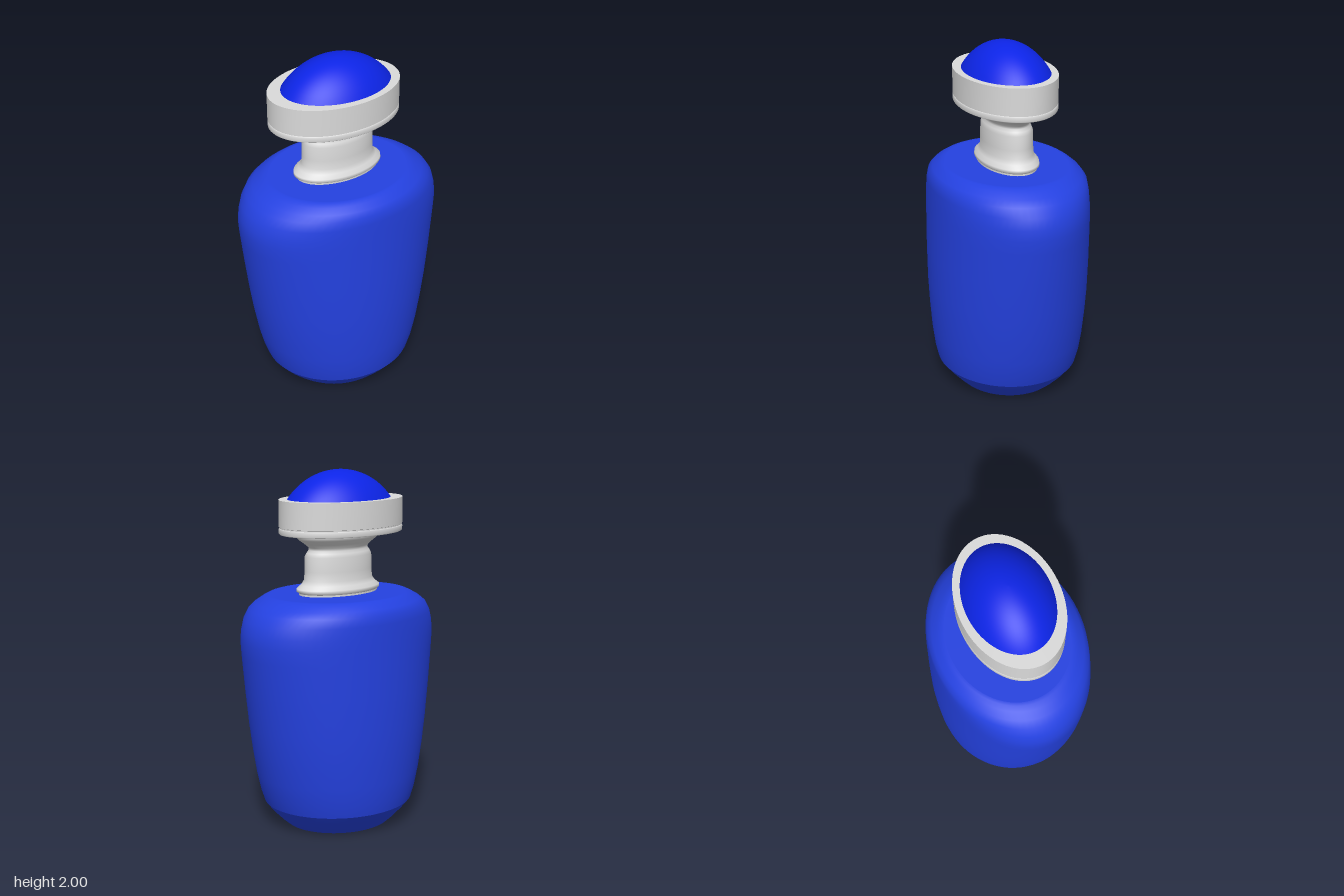
import * as THREE from 'three';

const SIDES = 72;

// Loft of elliptical rings [y, rx, rz], bottom to top, smooth within the loft.
function loft(rings) {
  const pos = [], index = [];
  for (const [y, rx, rz] of rings) {
    for (let i = 0; i < SIDES; i++) {
      const a = (i / SIDES) * Math.PI * 2;
      pos.push(rx * Math.cos(a), y, rz * Math.sin(a));
    }
  }
  for (let r = 0; r < rings.length - 1; r++) {
    for (let i = 0; i < SIDES; i++) {
      const j = (i + 1) % SIDES;
      const a = r * SIDES + i, b = r * SIDES + j;
      const c = a + SIDES, d = b + SIDES;
      if (rings[r][1] > 0) index.push(a, c, b);
      if (rings[r + 1][1] > 0) index.push(b, c, d);
    }
  }
  const g = new THREE.BufferGeometry();
  g.setAttribute('position', new THREE.Float32BufferAttribute(pos, 3));
  g.setIndex(index);
  g.computeVertexNormals();
  return g;
}

// A named part made of lofts; each loft ends at a sharp edge.
function part(name, material, x, sections) {
  const group = new THREE.Group();
  group.name = name;
  group.position.x = x;
  sections.forEach((rings, i) => {
    const mesh = new THREE.Mesh(loft(rings), material);
    mesh.name = `${name}Section${i + 1}`;
    group.add(mesh);
  });
  return group;
}

export function createModel() {
  const glass = new THREE.MeshStandardMaterial({ color: 0x2441e0 });
  glass.name = 'bottle blue';
  const gem = new THREE.MeshStandardMaterial({ color: 0x0c24e6 });
  gem.name = 'dome blue';
  const silver = new THREE.MeshStandardMaterial({ color: 0xdadada });
  silver.name = 'pale silver';

  const model = new THREE.Group();
  model.name = 'bottle';

  // Body: flat foot, bevelled base, flared oval sides and rounded shoulders
  model.add(part('body', glass, 0, [
    [[0, 0, 0], [0, 0.31, 0.285]],
    [[0, 0.31, 0.285], [0.03, 0.345, 0.315], [0.08, 0.395, 0.36], [0.13, 0.435, 0.4]],
    [[0.13, 0.435, 0.4], [0.2, 0.46, 0.415], [0.3, 0.485, 0.426], [0.45, 0.513, 0.435],
      [0.6, 0.536, 0.44], [0.8, 0.562, 0.438], [1.0, 0.586, 0.432], [1.08, 0.593, 0.43],
      [1.14, 0.588, 0.428], [1.2, 0.57, 0.426], [1.25, 0.535, 0.422], [1.28, 0.495, 0.4],
      [1.305, 0.45, 0.37], [1.318, 0.42, 0.35], [1.32, 0.4, 0.335]],
    [[1.32, 0.4, 0.335], [1.32, 0, 0]],
  ]));

  // Neck: footed collar, straight column, waist and flared rim
  model.add(part('neck', silver, -0.002, [
    [[1.31, 0.25, 0.15], [1.33, 0.25, 0.15]],
    [[1.33, 0.25, 0.15], [1.34, 0.266, 0.16], [1.355, 0.264, 0.158], [1.375, 0.235, 0.142],
      [1.4, 0.217, 0.131], [1.45, 0.214, 0.129], [1.53, 0.212, 0.127], [1.55, 0.2, 0.119],
      [1.565, 0.188, 0.112], [1.58, 0.19, 0.113], [1.6, 0.215, 0.13], [1.625, 0.252, 0.153],
      [1.64, 0.266, 0.16], [1.66, 0.266, 0.16]],
  ]));

  // Oval cap with a fine groove near its lower edge
  const rx = 0.381, rz = 0.267;
  model.add(part('cap', silver, -0.023, [
    [[1.655, 0, 0], [1.655, rx - 0.005, rz - 0.005]],
    [[1.655, rx - 0.005, rz - 0.005], [1.66, rx, rz], [1.683, rx, rz], [1.688, rx - 0.006, rz - 0.006]],
    [[1.688, rx - 0.006, rz - 0.006], [1.694, rx - 0.006, rz - 0.006]],
    [[1.694, rx - 0.006, rz - 0.006], [1.696, rx, rz]],
    [[1.696, rx, rz], [1.843, rx, rz]],
    [[1.843, rx, rz], [1.843, 0, 0]],
  ]));

  // Domed top: a shallow cap of an ellipsoid
  const dome = [];
  const spread = 0.95, steps = 14;
  for (let i = 0; i <= steps; i++) {
    const t = spread * (1 - i / steps);
    const s = Math.sin(t) / Math.sin(spread);
    const h = (Math.cos(t) - Math.cos(spread)) / (1 - Math.cos(spread));
    dome.push([1.84 + 0.16 * h, 0.317 * s, 0.23 * s]);
  }
  model.add(part('dome', gem, -0.01, [dome]));

  return model;
}
